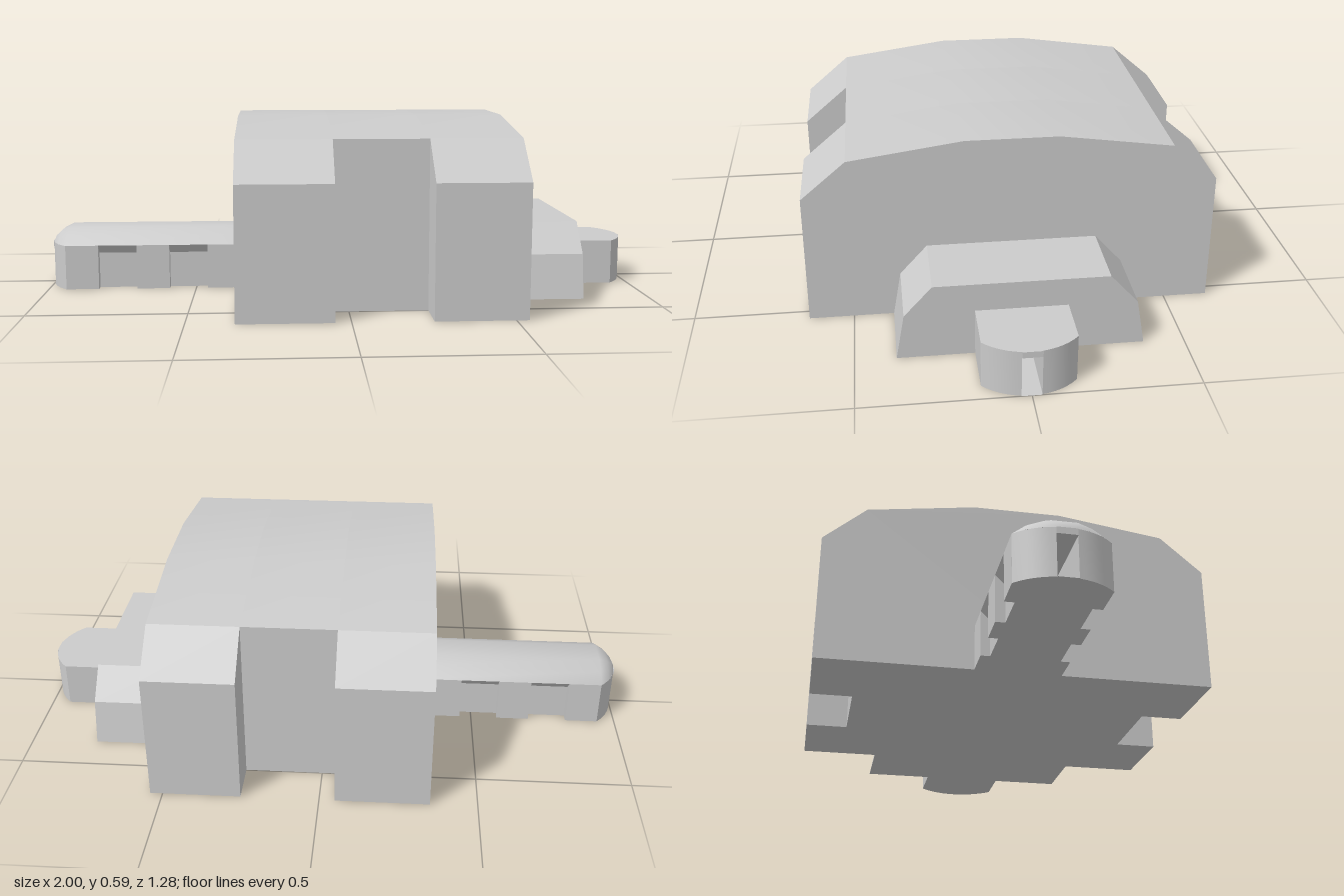
import * as THREE from 'three';
import { toCreasedNormals } from 'three/addons/utils/BufferGeometryUtils.js';

const SLOT_W = 0.03, SLOT_H = 0.13; // half width and height of the crawlway
const HALF = 0.14, WALL = 0.15, R = 0.193; // arm half width, wall height, end radius

export function createModel() {
  const model = new THREE.Group();
  const mat = new THREE.MeshStandardMaterial({ color: 0xcccccc });
  const thin = new THREE.MeshStandardMaterial({ color: 0xcccccc, side: THREE.DoubleSide });

  const add = (name, geo, material = mat) => {
    const mesh = new THREE.Mesh(geo, material);
    mesh.name = name;
    model.add(mesh);
    return mesh;
  };

  // Mirrored z-y profile with the crawlway cut in its base, swept from x0 to x1
  const slab = (name, half, x0, x1) => {
    const pts = [[SLOT_W, SLOT_H], [SLOT_W, 0], ...half];
    const mirrored = pts.map(([z, y]) => [-z, y]).reverse();
    const shape = new THREE.Shape([...pts, ...mirrored].map(([z, y]) => new THREE.Vector2(z, y)));
    const geo = new THREE.ExtrudeGeometry(shape, { depth: x1 - x0, bevelEnabled: false });
    geo.rotateY(Math.PI / 2).translate(x0, 0, 0);
    return add(name, toCreasedNormals(geo, 0.35));
  };

  // Main hall: two full bays with a recessed bay between
  const hall = [[0.64, 0], [0.64, 0.42], [0.5, 0.54], [0.145, 0.59]];
  slab('hallRightBay', hall, -0.35, -0.05);
  slab('hallMiddleBay', [[0.5, 0], [0.5, 0.54], [0.145, 0.59]], -0.05, 0.25);
  slab('hallLeftBay', hall, 0.25, 0.54);

  // Lower annex
  slab('annex', [[0.375, 0], [0.35, 0.145], [0.265, 0.24]], 0.54, 0.78);

  // Round-ended walls with a doorway in the middle
  const roundEnd = (name, from, side) => {
    for (const s of [1, -1]) {
      const pts = [new THREE.Vector2(side * from, s * SLOT_W), new THREE.Vector2(side * from, s * HALF)];
      const a0 = Math.asin(HALF / R), a1 = Math.asin(SLOT_W / R);
      for (let i = 0; i <= 6; i++) {
        const a = a0 + (a1 - a0) * i / 6;
        pts.push(new THREE.Vector2(side * (1 - R + R * Math.cos(a)), s * R * Math.sin(a)));
      }
      const geo = new THREE.ExtrudeGeometry(new THREE.Shape(pts), { depth: WALL, bevelEnabled: false });
      geo.rotateX(-Math.PI / 2);
      add(name + 'Wall', toCreasedNormals(geo, 0.4));
    }
    const lintel = add(name + 'Lintel', new THREE.BoxGeometry(1 - from, WALL - SLOT_H, SLOT_W * 2));
    lintel.position.set(side * (1 + from) / 2, (WALL + SLOT_H) / 2, 0);
  };
  roundEnd('porch', 0.78, 1);
  roundEnd('armEnd', 0.94, -1);

  // Long arm: full piers alternating with recessed bays under sloping eaves
  const cuts = [-0.94, -0.83, -0.7, -0.59, -0.46, -0.35];
  for (let i = 0; i < cuts.length - 1; i++) {
    const recessed = i % 2 === 1;
    const half = recessed ? [[0.11, 0], [0.11, 0.12], [HALF, WALL]] : [[HALF, 0], [HALF, WALL]];
    slab(recessed ? 'armBay' : 'armPier', half, cuts[i], cuts[i + 1]);
  }

  // Arched roof of the arm, closing down over the round end
  const arch = [[-0.14, 0], [-0.1, 0.03], [-0.05, 0.05], [0.05, 0.05], [0.1, 0.03], [0.14, 0]];
  const stations = [[-1, 0, 0], [-0.99, 0.45, 0.35], [-0.97, 0.75, 0.72], [-0.94, 1, 1], [-0.35, 1, 1]];
  const roof = new THREE.PlaneGeometry(1, 1, stations.length - 1, arch.length - 1);
  arch.forEach(([z, y], j) => stations.forEach(([x, w, h], i) => {
    roof.attributes.position.setXYZ(j * stations.length + i, x, WALL + y * h, z * w);
  }));
  add('armRoof', toCreasedNormals(roof, 0.7), thin);

  // Floor of the crawlway
  add('crawlwayFloor', new THREE.PlaneGeometry(2, SLOT_W * 2).rotateX(-Math.PI / 2), thin);

  return model;
}
